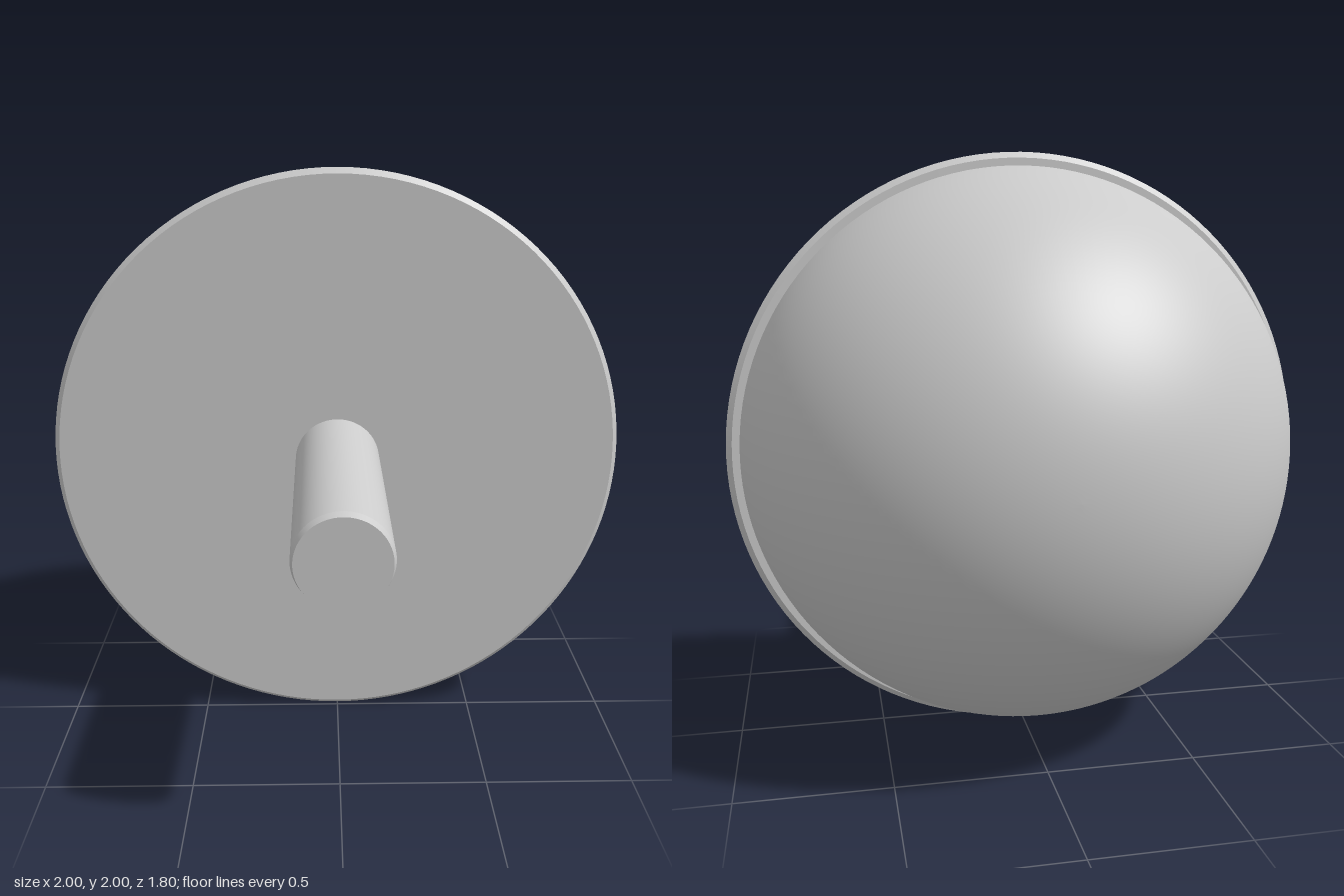
import * as THREE from 'three';
import { mergeGeometries } from 'three/addons/utils/BufferGeometryUtils.js';

const SEGMENTS = 128;

// Revolve [radius, z] points, listed back to front, around the z axis
function revolve(points) {
  const g = new THREE.LatheGeometry(points.map(([r, z]) => new THREE.Vector2(r, z)), SEGMENTS);
  return g.rotateX(Math.PI / 2);
}

// Same, but with a sharp crease at every profile point
function revolveCreased(points) {
  return mergeGeometries(points.slice(1).map((p, i) => revolve([points[i], p])));
}

export function createModel() {
  const group = new THREE.Group();
  const grey = new THREE.MeshStandardMaterial({ color: 0xcccccc });
  grey.name = 'light grey';

  const add = (name, geometry) => {
    const mesh = new THREE.Mesh(geometry, grey);
    mesh.name = name;
    mesh.position.y = 1;
    group.add(mesh);
  };

  // Rounded cap: a sphere section a little short of a hemisphere
  const R = 0.9645, centre = 0.0645, steps = 48;
  const end = Math.acos((centre + 0.06) / R);
  const cap = [];
  for (let i = 0; i <= steps; i++) {
    const a = (end * i) / steps;
    cap.push([R * Math.sin(a), centre - R * Math.cos(a)]);
  }
  add('dome', revolve(cap));

  // Chamfered lip with the flat front disc
  add('rimDisc', revolveCreased([
    [0.945, -0.07], [0.98, -0.07], [1, -0.055], [1, -0.018], [0.982, 0], [0, 0],
  ]));

  // Round peg with a slightly chamfered end
  add('stem', revolveCreased([
    [0.148, -0.01], [0.148, 0.875], [0.14, 0.9], [0, 0.9],
  ]));

  return group;
}
